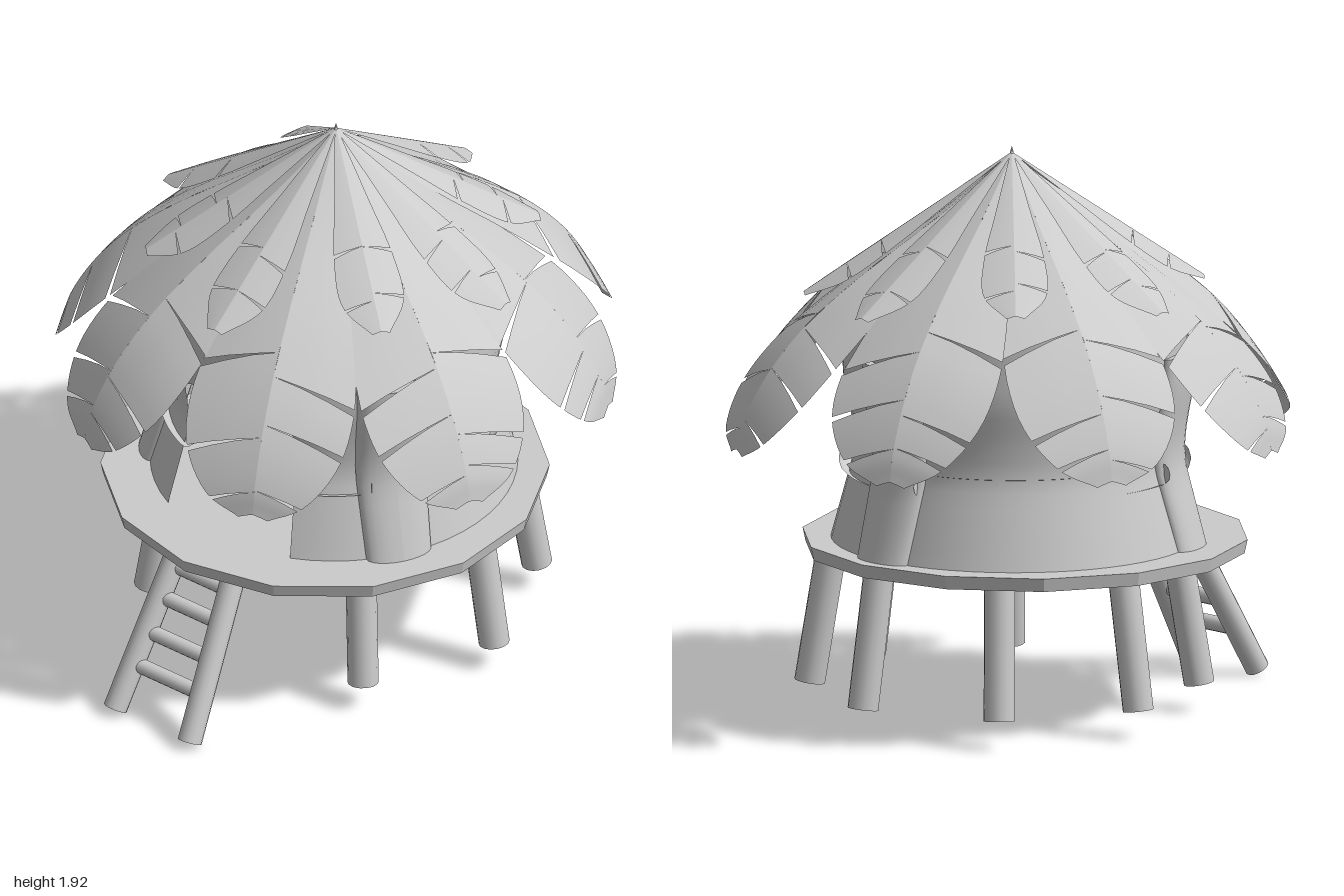
import * as THREE from 'three';

const V = (x, y, z) => new THREE.Vector3(x, y, z);
const grey = new THREE.MeshStandardMaterial({ color: 0xcccccc });
const greyThin = new THREE.MeshStandardMaterial({ color: 0xcccccc, side: THREE.DoubleSide });

function add(parent, name, geometry, material = grey) {
  const mesh = new THREE.Mesh(geometry, material);
  mesh.name = name;
  parent.add(mesh);
  return mesh;
}

// round bar between two points
function bar(parent, name, a, b, radius) {
  const mesh = add(parent, name, new THREE.CylinderGeometry(radius, radius, a.distanceTo(b), 14));
  mesh.position.copy(a).lerp(b, 0.5);
  mesh.quaternion.setFromUnitVectors(V(0, 1, 0), b.clone().sub(a).normalize());
}

// move every vertex of a geometry by a rule
function warp(geometry, rule) {
  const p = geometry.attributes.position;
  for (let i = 0; i < p.count; i++) {
    const v = rule(p.getX(i), p.getY(i), p.getZ(i));
    p.setXYZ(i, v.x, v.y, v.z);
  }
  geometry.computeVertexNormals();
  return geometry;
}

// waisted wall: radius at a height
const WALL = [[0.585, 0.615], [0.75, 0.57], [0.88, 0.535], [1.0, 0.545], [1.15, 0.575], [1.4, 0.58]];
function wallRadius(y) {
  for (let i = 1; i < WALL.length; i++) {
    const [y0, r0] = WALL[i - 1], [y1, r1] = WALL[i];
    if (y <= y1) return THREE.MathUtils.lerp(r0, r1, (y - y0) / (y1 - y0));
  }
  return 0.58;
}
const polar = (r, y, a) => V(r * Math.sin(a), y, r * Math.cos(a));

// horizontal rail bent around the wall
function rail(parent, a0, a1) {
  const geo = warp(new THREE.CylinderGeometry(0.038, 0.038, 1, 12, 20), (x, y, z) =>
    polar(0.55 + x, 0.85 - z, THREE.MathUtils.lerp(a0, a1, y + 0.5)));
  add(parent, 'wallRail', geo);
}

// leaf: a ridged blade along a curve of (radius, height, half width), slit from the edges inward
function leaf(points, slits, drop, seed) {
  const curve = new THREE.CatmullRomCurve3(points.map(p => V(...p)));
  const pos = [], index = [], ROWS = 6, COLS = 3;
  for (const side of [-1, 1]) {
    const cuts = [0, ...slits.map((s, i) => s + 0.035 * Math.sin(seed * 2.3 + i * 4 + side)), 1];
    for (let k = 0; k + 1 < cuts.length; k++) {
      const start = pos.length / 3;
      for (let i = 0; i <= ROWS; i++) for (let j = 0; j <= COLS; j++) {
        const s = j / COLS, open = 0.011 * Math.max(0, s - 0.2);
        const t = THREE.MathUtils.lerp(cuts[k] + (k ? open : 0), cuts[k + 1] - (cuts[k + 1] < 1 ? open : 0), i / ROWS);
        const c = curve.getPoint(t), w = c.z * s;
        pos.push(side * w, c.y - drop * w * (0.7 + 0.3 * s), c.x);
        if (i < ROWS && j < COLS) {
          const a = start + i * (COLS + 1) + j, b = a + COLS + 1;
          if (side > 0) index.push(a, b, a + 1, a + 1, b, b + 1);
          else index.push(a, a + 1, b, a + 1, b + 1, b);
        }
      }
    }
  }
  const geo = new THREE.BufferGeometry();
  geo.setAttribute('position', new THREE.Float32BufferAttribute(pos, 3));
  geo.setIndex(index);
  geo.computeVertexNormals();
  return geo;
}

export function createModel() {
  const model = new THREE.Group();
  model.name = 'stiltHut';

  // many-sided floor
  const floor = add(model, 'platform', new THREE.CylinderGeometry(0.75, 0.74, 0.046, 14).toNonIndexed());
  floor.geometry.computeVertexNormals();
  floor.position.set(0.02, 0.564, 0.045);

  // splayed stilts, with the front place left for the ladder
  const stilts = new THREE.Group();
  stilts.name = 'stilts';
  stilts.position.set(0.02, 0, -0.05);
  model.add(stilts);
  for (let i = 1; i < 8; i++) {
    const a = i * Math.PI / 4;
    bar(stilts, 'stilt', polar(0.65, 0.095, a), polar(0.575, 0.56, a), 0.052);
  }

  // ladder
  const ladder = new THREE.Group();
  ladder.name = 'ladder';
  ladder.position.x = 0.025;
  model.add(ladder);
  for (const s of [-1, 1]) bar(ladder, 'ladderRail', V(s * 0.16, 0.02, 0.965), V(s * 0.118, 0.545, 0.67), 0.041);
  for (const y of [0.165, 0.27, 0.38, 0.48]) {
    const z = 0.965 - (y - 0.02) * 0.56, w = 0.15 - y * 0.09;
    bar(ladder, 'ladderRung', V(-w, y, z), V(w, y, z), 0.026);
  }

  // walls with an arched doorway
  const hut = new THREE.Group();
  hut.name = 'hutWalls';
  hut.position.set(0.022, 0, 0);
  model.add(hut);
  const DOOR = 0.44;
  const wallSheet = (name, a0, a1, bottom) => add(hut, name,
    warp(new THREE.PlaneGeometry(1, 1, 48, 16), (x, y) => {
      const a = THREE.MathUtils.lerp(a0, a1, x + 0.5);
      const h = THREE.MathUtils.lerp(bottom(a), 1.4, y + 0.5);
      return polar(wallRadius(h), h, a);
    }), greyThin);
  wallSheet('wall', DOOR, Math.PI * 2 - DOOR, () => 0.585);
  wallSheet('doorLintel', -DOOR, DOOR, a => 1.02 + 0.1 * Math.sqrt(Math.max(0, 1 - (a / DOOR) ** 2)));

  // three broad wall posts and the rails between them
  for (let i = 0; i < 3; i++) {
    const a = Math.PI / 3 + i * Math.PI * 2 / 3;
    const post = add(hut, 'wallPost', warp(new THREE.CylinderGeometry(1, 1, 1, 24, 10), (x, y, z) => {
      const h = 0.585 + (y + 0.5) * 0.66;
      return V(x * (0.115 + 0.02 * (y + 0.5)), h, wallRadius(h) - 0.012 + z * 0.055);
    }));
    post.rotation.y = a;
    if (i < 2) rail(hut, a + 0.2, a + Math.PI * 2 / 3 - 0.2);
  }
  rail(hut, 0.39, 0.9);
  rail(hut, -0.9, -0.39);

  // roof of large drooping leaves
  const roof = new THREE.Group();
  roof.name = 'leafRoof';
  roof.position.set(0.01, 0, -0.025);
  roof.scale.z = 1.015;
  model.add(roof);
  const big = [[0, 1.89, 0.004], [0.25, 1.7, 0.12], [0.5, 1.53, 0.22], [0.7, 1.37, 0.28],
    [0.83, 1.22, 0.265], [0.92, 1.06, 0.17], [0.945, 0.96, 0.05]];
  for (let i = 0; i < 8; i++) {
    const a = (i + 0.5) * Math.PI / 4;
    const k = Math.cos(a) < -0.8 ? 1.03 : 1;
    const pts = big.map(([r, y, w]) => [r * k, y, w]);
    add(roof, 'largeLeaf', leaf(pts, [0.48, 0.68, 0.84], 0.34, i), greyThin).rotation.y = a;
  }

  // upper layer of narrow leaves, each given by the place of its tip
  const tips = [[-0.68, 0.05], [-0.02, -0.7], [0.42, -0.55], [0.68, -0.06], [0.5, 0.37],
    [0.03, 0.67], [-0.43, 0.47], [-0.48, -0.43]];
  tips.forEach(([x, z], i) => {
    const n = Math.hypot(x, z);
    const pts = [[0, 1.9, 0.004], [0.35, 1.67, 0.06], [0.6, 1.505, 0.1], [0.82, 1.35, 0.105], [1, 1.225, 0.03]]
      .map(([r, y, w]) => [r * n, 1.9 - r * n * 0.68 + 0.012 * r, w]);
    add(roof, 'smallLeaf', leaf(pts, [0.5, 0.75], 0.3, i + 9), greyThin).rotation.y = Math.atan2(x, z);
  });

  // roof tip
  const tip = add(roof, 'roofTip', new THREE.ConeGeometry(0.014, 0.05, 8));
  tip.position.y = 1.895;

  return model;
}
